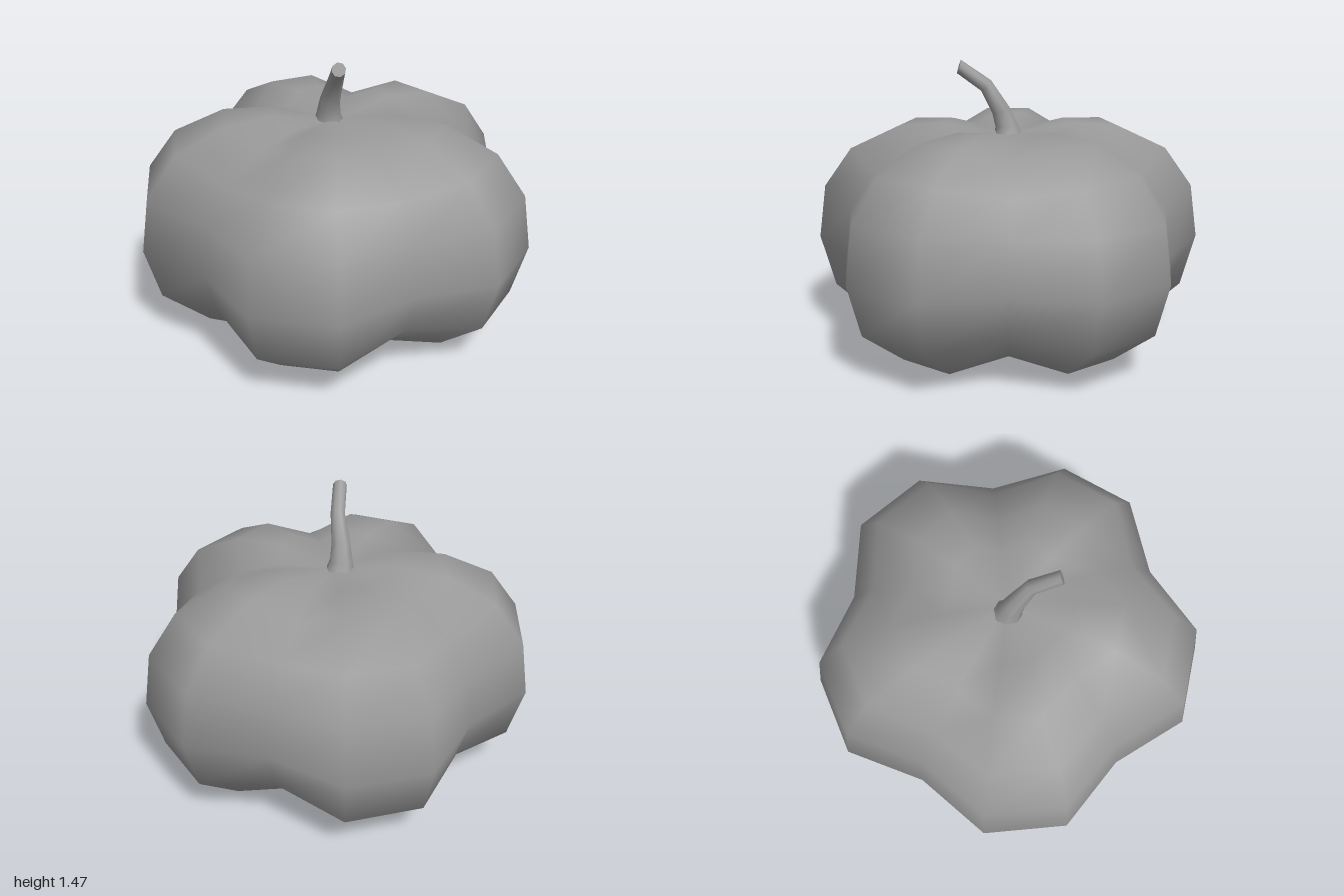
import * as THREE from 'three';

// Skins closed rings, listed from bottom to top, with optional pole points at the ends.
// Ring points run x -> z around the upward axis.
function loft(rings, bottom, top) {
  const n = rings[0].length;
  const pts = rings.flat();
  const index = [];
  for (let i = 0; i < rings.length - 1; i++) {
    for (let j = 0; j < n; j++) {
      const a = i * n + j, b = i * n + (j + 1) % n;
      index.push(a, a + n, b, b, a + n, b + n);
    }
  }
  const last = (rings.length - 1) * n;
  if (bottom) {
    const p = pts.push(bottom) - 1;
    for (let j = 0; j < n; j++) index.push(p, j, (j + 1) % n);
  }
  if (top) {
    const p = pts.push(top) - 1;
    for (let j = 0; j < n; j++) index.push(last + j, p, last + (j + 1) % n);
  }
  const geo = new THREE.BufferGeometry().setFromPoints(pts);
  geo.setIndex(index);
  geo.computeVertexNormals();
  return geo;
}

// Five lobes: every third column of vertices is a groove, pulled inward.
function bodyGeometry() {
  const cx = -0.023, cz = 0.009, radius = 1.011, start = THREE.MathUtils.degToRad(30.3);
  // [radius factor, height on a lobe, height in a groove]
  const profile = [
    [0.44, 0.0, 0.04], [0.69, 0.06, 0.13], [0.925, 0.25, 0.31], [1, 0.52, 0.52],
    [0.96, 0.8, 0.77], [0.815, 1.005, 0.94], [0.56, 1.13, 1.06], [0.325, 1.15, 1.11],
  ];
  const rings = profile.map(([f, lobeY, grooveY]) =>
    Array.from({ length: 15 }, (_, j) => {
      const groove = j % 3 === 0;
      const r = f * radius * (groove ? 0.843 : 1);
      const a = start + j * Math.PI * 2 / 15;
      return new THREE.Vector3(cx + r * Math.cos(a), groove ? grooveY : lobeY, cz + r * Math.sin(a));
    }));
  return loft(rings, new THREE.Vector3(cx, 0.06, cz), new THREE.Vector3(cx, 1.095, cz));
}

// Tapered stem: [centre], [direction], radius
function stemRings() {
  const sections = [
    [[-0.047, 1.085, -0.01], [0, 1, 0], 0.078],
    [[-0.057, 1.135, -0.002], [-0.1, 1, 0.1], 0.06],
    [[-0.068, 1.215, 0.025], [-0.15, 1, 0.35], 0.05],
    [[-0.088, 1.345, 0.1], [-0.3, 0.85, 0.7], 0.038],
    [[-0.16, 1.44, 0.215], [-0.42, 0.3, 0.85], 0.035],
  ];
  return sections.map(([c, d, r]) => {
    const t = new THREE.Vector3(...d).normalize();
    const u = new THREE.Vector3(1, 0, 0).projectOnPlane(t).normalize();
    const v = u.clone().cross(t);
    return Array.from({ length: 8 }, (_, j) => {
      const a = j * Math.PI / 4;
      return new THREE.Vector3(...c)
        .addScaledVector(u, r * Math.cos(a))
        .addScaledVector(v, r * Math.sin(a));
    });
  });
}

export function createModel() {
  const model = new THREE.Group();
  model.name = 'pumpkin';
  const material = new THREE.MeshStandardMaterial({ color: 0x999999 });
  const add = (name, geometry) => {
    const mesh = new THREE.Mesh(geometry, material);
    mesh.name = name;
    model.add(mesh);
  };

  add('body', bodyGeometry());

  // Stem and its flat cut end, kept apart for a sharp rim
  const rings = stemRings();
  const tip = rings[rings.length - 1];
  add('stem', loft(rings));
  add('stemEnd', loft([tip], null, tip[0].clone().lerp(tip[4], 0.5)));

  return model;
}
